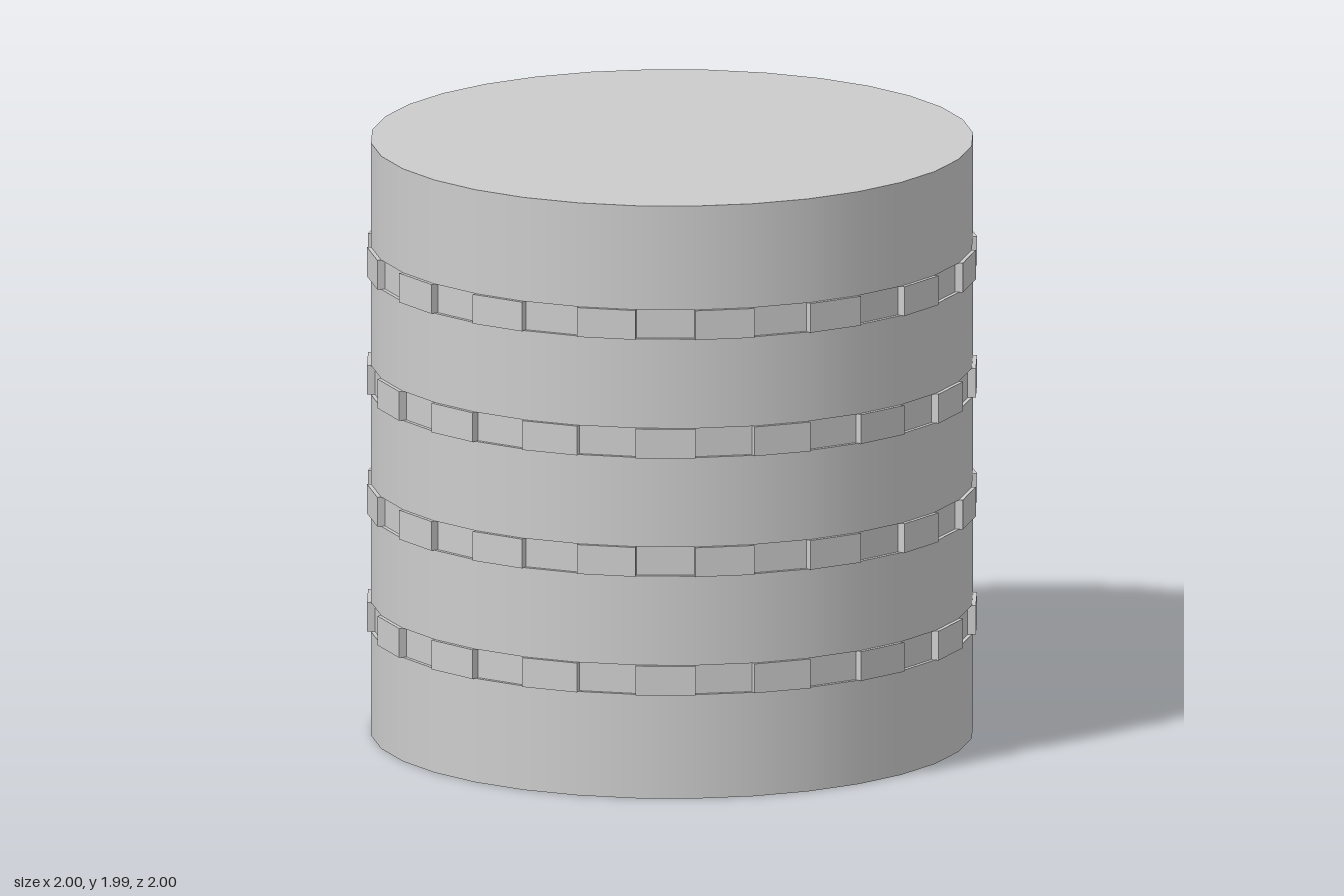
import * as THREE from 'three';

const SIDES = 32;
const RADIUS = 0.985;
const HEIGHT = 1.985;
const DEPTH = 0.0135; // how far the relief panels stand out or sink in
const ROWS = 4;
const ROW_HEIGHT = 0.098;

// One ring of flat panels, alternately raised and sunk, with the ledges between them
function panelRing(y0, y1, parity) {
  const pos = [];
  const point = (i, r, y) => {
    const a = (i / SIDES) * Math.PI * 2;
    return [r * Math.sin(a), y, r * Math.cos(a)];
  };
  const quad = (a, b, c, d) => pos.push(...a, ...b, ...c, ...a, ...c, ...d);
  const radiusOf = (i) => RADIUS + ((i + SIDES + parity) % 2 === 0 ? DEPTH : -DEPTH);
  for (let i = 0; i < SIDES; i++) {
    const r = radiusOf(i);
    const prev = radiusOf(i - 1);
    const j = i + 1;
    // panel face
    quad(point(i, r, y0), point(j, r, y0), point(j, r, y1), point(i, r, y1));
    // lower and upper ledges
    quad(point(i, RADIUS, y0), point(j, RADIUS, y0), point(j, r, y0), point(i, r, y0));
    quad(point(i, r, y1), point(j, r, y1), point(j, RADIUS, y1), point(i, RADIUS, y1));
    // step from the neighbouring panel
    quad(point(i, prev, y0), point(i, r, y0), point(i, r, y1), point(i, prev, y1));
  }
  const geo = new THREE.BufferGeometry();
  geo.setAttribute('position', new THREE.Float32BufferAttribute(pos, 3));
  geo.computeVertexNormals();
  return geo;
}

export function createModel() {
  const group = new THREE.Group();
  group.name = 'panelledDrum';
  const grey = new THREE.MeshStandardMaterial({ color: 0xcccccc, side: THREE.DoubleSide });
  grey.name = 'light grey';

  const add = (name, geo) => {
    const mesh = new THREE.Mesh(geo, grey);
    mesh.name = name;
    group.add(mesh);
    return mesh;
  };

  // Smooth thin wall section
  const addWall = (name, y0, y1) => {
    const geo = new THREE.CylinderGeometry(RADIUS, RADIUS, y1 - y0, SIDES, 1, true);
    add(name, geo).position.y = (y0 + y1) / 2;
  };

  // Walls and panel rings, stacked from the open bottom upwards
  let y = 0;
  for (let i = 0; i < ROWS; i++) {
    const mid = (HEIGHT * (i + 1)) / (ROWS + 1);
    const y0 = mid - ROW_HEIGHT / 2;
    const y1 = mid + ROW_HEIGHT / 2;
    addWall(`wall${i + 1}`, y, y0);
    add(`panelRing${i + 1}`, panelRing(y0, y1, i % 2));
    y = y1;
  }
  addWall(`wall${ROWS + 1}`, y, HEIGHT);

  // Flat lid
  const lid = new THREE.CircleGeometry(RADIUS, SIDES);
  lid.rotateX(-Math.PI / 2);
  add('lid', lid).position.y = HEIGHT;

  return group;
}
